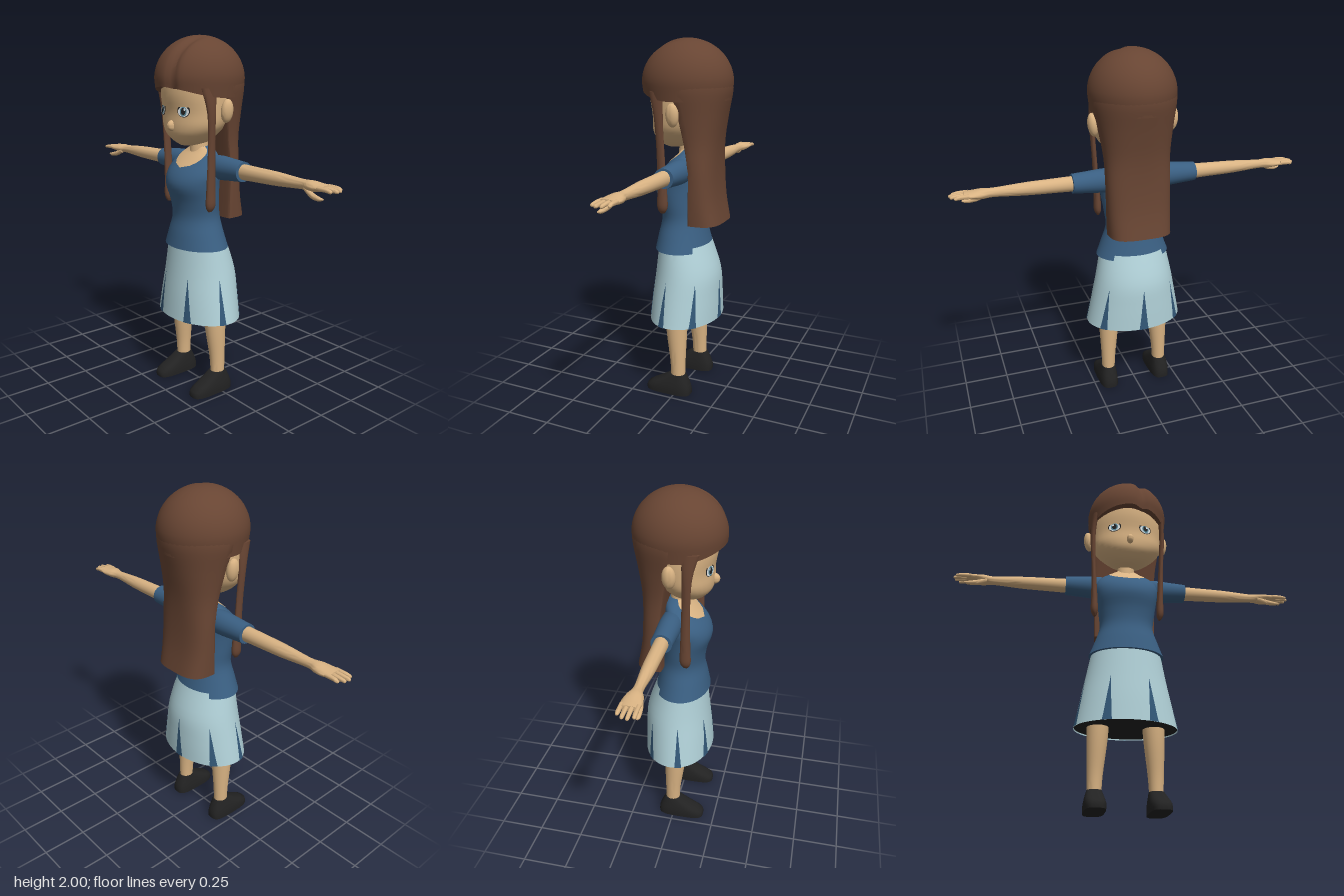
import * as THREE from 'three';
import { toCreasedNormals } from 'three/addons/utils/BufferGeometryUtils.js';

const material = (name, color, side = THREE.FrontSide) => {
  const m = new THREE.MeshStandardMaterial({ color, side });
  m.name = name;
  return m;
};

// Surface from a rule: u runs around, v runs upward
function grid(nu, nv, fn) {
  const pos = [], index = [];
  for (let j = 0; j <= nv; j++) for (let i = 0; i <= nu; i++) pos.push(...fn(i / nu, j / nv, j));
  for (let j = 0; j < nv; j++) for (let i = 0; i < nu; i++) {
    const a = j * (nu + 1) + i, d = a + nu + 1;
    index.push(a, a + 1, d + 1, a, d + 1, d);
  }
  const g = new THREE.BufferGeometry();
  g.setAttribute('position', new THREE.Float32BufferAttribute(pos, 3));
  g.setIndex(index);
  return g;
}

// Smoothly interpolated ring [y, halfX, halfZ, centreX, centreZ, roundness]
function ringAt(rings, s) {
  const n = rings.length - 1, i = Math.min(Math.floor(s), n - 1), t = s - i;
  const get = (k, c) => rings[Math.max(0, Math.min(n, k))][c] ?? (c === 5 ? 1 : 0);
  return [0, 1, 2, 3, 4, 5].map((c) => {
    const a = get(i - 1, c), b = get(i, c), d = get(i + 1, c), e = get(i + 2, c);
    return b + 0.5 * t * (d - a + t * (2 * a - 5 * b + 4 * d - e + t * (3 * (b - d) + e - a)));
  });
}

function ringPoint(r, angle, scale = 1, front = 1) {
  const s = Math.sin(angle), c = Math.cos(angle);
  const px = Math.sign(s) * Math.abs(s) ** r[5], pz = Math.sign(c) * Math.abs(c) ** r[5];
  return [r[3] + r[1] * scale * px, r[0], r[4] + r[2] * scale * pz * (c > 0 ? front : 1)];
}

// Closed body through a stack of rings
function loft(rings, { seg = 32, sub = 4, caps = true, front = 1 } = {}) {
  const n = (rings.length - 1) * sub, pad = caps ? 1 : 0;
  return grid(seg, n + 2 * pad, (u, v, j) => {
    const k = Math.max(0, Math.min(n, j - pad));
    const end = caps && (j === 0 || j === n + 2);
    return ringPoint(ringAt(rings, k / sub), (u - 0.5) * 2 * Math.PI, end ? 0 : 1, front);
  });
}

// Thin painted patch lying on a lofted body
const patch = (rings, s0, s1, angle, halfWidth, scale) => grid(8, 12, (u, v) =>
  ringPoint(ringAt(rings, s0 + (s1 - s0) * v), angle + (u * 2 - 1) * halfWidth(v), scale));

function mirrored(geo) {
  const g = geo.clone().scale(-1, 1, 1), a = g.index.array;
  for (let i = 0; i < a.length; i += 3) [a[i], a[i + 1]] = [a[i + 1], a[i]];
  return g;
}

export function createModel() {
  const root = new THREE.Group(), body = new THREE.Group();
  root.name = 'girl';
  body.name = 'body';
  root.add(body);
  const skin = material('skin', 0xd9b383), hair = material('brown hair', 0x684533);
  const shirt = material('blue shirt', 0x3a5f82), skirt = material('pale skirt', 0xb0d0d7, THREE.DoubleSide);
  const pleat = material('dark pleat', 0x335878, THREE.DoubleSide), black = material('black', 0x222222);
  const white = material('eye white', 0xe8eef0), iris = material('iris', 0x5d8ea0);

  const add = (name, geo, mat) => {
    const mesh = new THREE.Mesh(toCreasedNormals(geo, 0.8), mat);
    mesh.name = name;
    body.add(mesh);
  };
  const pair = (name, geo, mat) => {
    add(name + 'Left', geo, mat);
    add(name + 'Right', mirrored(geo), mat);
  };

  // Head, nose, neck and ears
  add('head', loft([[1.42, 0.04, 0.04, 0, 0.075], [1.44, 0.1, 0.09, 0, 0.055], [1.48, 0.155, 0.128, 0, 0.05],
    [1.53, 0.195, 0.15, 0, 0.037], [1.6, 0.21, 0.166, 0, 0.02], [1.7, 0.215, 0.19, 0, 0.012],
    [1.8, 0.205, 0.19], [1.9, 0.12, 0.12]]), skin);
  add('nose', new THREE.SphereGeometry(1, 16, 12).scale(0.02, 0.03, 0.032).translate(0, 1.53, 0.182), skin);
  add('neck', new THREE.CylinderGeometry(0.043, 0.055, 0.2, 24).translate(0, 1.43, 0), skin);
  pair('ear', new THREE.SphereGeometry(1, 20, 14).scale(0.028, 0.063, 0.036).rotateZ(-0.12)
    .translate(0.225, 1.612, -0.008), skin);

  // Eyes as thin layered plates
  const eyeLayer = (name, rx, ry, dx, dy, lift, mat) => pair(name,
    new THREE.CircleGeometry(1, 24).scale(rx, ry, 1).translate(dx, dy, lift)
      .rotateX(-0.06).rotateY(0.36).translate(0.09, 1.61, 0.174), mat);
  eyeLayer('eyeOutline', 0.039, 0.033, 0, 0.002, 0, black);
  eyeLayer('eyeWhite', 0.034, 0.026, 0, -0.002, 0.002, white);
  eyeLayer('iris', 0.021, 0.025, 0, -0.001, 0.004, iris);
  eyeLayer('pupil', 0.014, 0.018, 0, 0, 0.005, black);
  eyeLayer('eyeGlint', 0.006, 0.007, 0.008, 0.01, 0.006, white);

  // Hair cap with a side parting and a fringe edge turned under
  add('hairCap', grid(64, 22, (u, v, j) => {
    const a = (u - 0.5) * 2 * Math.PI, f = Math.max(0, Math.cos(a));
    const edge = 1.68 + 0.055 * f * f;
    const y = edge + (2 - edge) * Math.sin(Math.max(0, j - 1) / 21 * Math.PI / 2);
    let r = y > 1.77 ? Math.sqrt(Math.max(0, 1 - ((y - 1.77) / 0.23) ** 2)) : 1 - 0.5 * (1.77 - y);
    if (j === 0) r *= 0.82;
    const x = 0.236 * r * Math.sin(a);
    const groove = 0.022 * f * Math.exp(-(((x - 0.06) / 0.025) ** 2));
    return [x + 0.005, y - groove * 0.3, 0.25 * r * Math.cos(a) - groove];
  }), hair);

  // Long hair down the back, flat on its inner side
  add('longHair', loft([[1.015, 0.175, 0.145, 0.004, -0.08, 0.6], [1.15, 0.178, 0.12, 0.004, -0.08, 0.65],
    [1.3, 0.18, 0.11, 0.004, -0.08, 0.7], [1.45, 0.183, 0.135, 0.004, -0.06, 0.8], [1.6, 0.205, 0.185, 0.004, -0.035, 0.9],
    [1.74, 0.232, 0.238, 0.004, -0.01, 1], [1.82, 0.22, 0.23, 0.004, -0.005, 1]], { seg: 48, front: 0.1 }), hair);

  // Locks in front of the ears
  pair('sideLock', loft([[1.075, 0.006, 0.012, 0.185, 0.072], [1.11, 0.02, 0.03, 0.188, 0.07],
    [1.2, 0.018, 0.028, 0.19, 0.07], [1.4, 0.013, 0.023, 0.198, 0.073], [1.6, 0.015, 0.026, 0.206, 0.08],
    [1.73, 0.02, 0.05, 0.195, 0.09]], { seg: 16 }), hair);

  // Shirt, bare neckline and sleeves
  const torso = [[0.85, 0.21, 0.155, 0, 0.02], [0.93, 0.18, 0.138, 0, 0.022], [1.02, 0.152, 0.12, 0, 0.022],
    [1.11, 0.16, 0.12, 0, 0.033], [1.2, 0.172, 0.133, 0, 0.047], [1.27, 0.18, 0.12, 0, 0.037],
    [1.34, 0.16, 0.083, 0, 0.008], [1.385, 0.105, 0.06, 0, -0.015], [1.41, 0.055, 0.045, 0, -0.012]];
  add('shirt', loft(torso, { seg: 40 }), shirt);
  add('neckline', patch(torso, 5.4, 8, 0, (v) => 1.3 * Math.sqrt(v), 1.025), skin);
  const alongArm = (g) => g.rotateZ(-Math.PI / 2).translate(0, 1.305, -0.018);
  pair('sleeve', alongArm(loft([[0.08, 0.06, 0.06], [0.17, 0.066, 0.062], [0.27, 0.059, 0.058], [0.352, 0.053, 0.056]],
    { seg: 24 })), shirt);

  // Arm running into a flat palm, four fingers and a thumb
  pair('arm', alongArm(loft([[0.3, 0.043, 0.038], [0.45, 0.039, 0.037], [0.6, 0.035, 0.034], [0.76, 0.025, 0.024],
    [0.82, 0.026, 0.042], [0.87, 0.02, 0.05], [0.915, 0.013, 0.047, -0.003]], { seg: 24 })), skin);
  [0.965, 0.985, 0.99, 0.975].forEach((tip, i) => {
    const z = (i - 1.5) * 0.025;
    pair('finger' + (i + 1), alongArm(loft([[0.89, 0.012, 0.012, -0.003, z], [0.94, 0.011, 0.011, -0.002, z * 1.03],
      [tip - 0.008, 0.009, 0.009, 0.002, z * 1.06], [tip, 0.004, 0.004, 0.002, z * 1.06]], { seg: 10 })), skin);
  });
  pair('thumb', alongArm(loft([[0.8, 0.014, 0.014, 0.012, 0.02], [0.85, 0.015, 0.014, 0.035, 0.032],
    [0.9, 0.011, 0.011, 0.045, 0.038], [0.925, 0.004, 0.005, 0.043, 0.039]], { seg: 12 })), skin);

  // Skirt with seven inset pleats and a dark lining
  const skirtRings = [[0.44, 0.28, 0.198, 0, 0.003], [0.58, 0.252, 0.191, 0, -0.002], [0.72, 0.224, 0.178, 0, -0.005],
    [0.88, 0.192, 0.142, 0, 0.013]];
  add('skirt', loft(skirtRings, { seg: 56, caps: false }), skirt);
  for (let i = 0; i < 7; i++) {
    add('pleat' + (i + 1), patch(skirtRings, 0, 1.8, Math.PI + i * 2 * Math.PI / 7, (v) => 0.1 * (1 - v), 1.012), pleat);
  }
  add('skirtLining', new THREE.CircleGeometry(1, 48).scale(0.277, 0.195, 1).rotateX(Math.PI / 2)
    .translate(0, 0.446, 0.003), black);

  // Legs and wedge shaped shoes
  pair('leg', loft([[0.09, 0.037, 0.041, 0.162, -0.008], [0.2, 0.042, 0.045, 0.16, -0.006], [0.35, 0.054, 0.058, 0.154, 0.002],
    [0.46, 0.06, 0.065, 0.15, 0.005], [0.6, 0.065, 0.07, 0.145, 0.005]], { seg: 24 }), skin);
  pair('shoe', loft([[0, 0.055, 0.135, 0.165, 0.047, 0.6], [0.035, 0.056, 0.133, 0.165, 0.045, 0.65],
    [0.075, 0.05, 0.092, 0.164, 0.018, 0.7], [0.117, 0.04, 0.047, 0.162, -0.007, 0.8]], { seg: 28, sub: 2 }), black);

  // The figure faces along -x
  body.rotation.y = -Math.PI / 2;
  return root;
}
